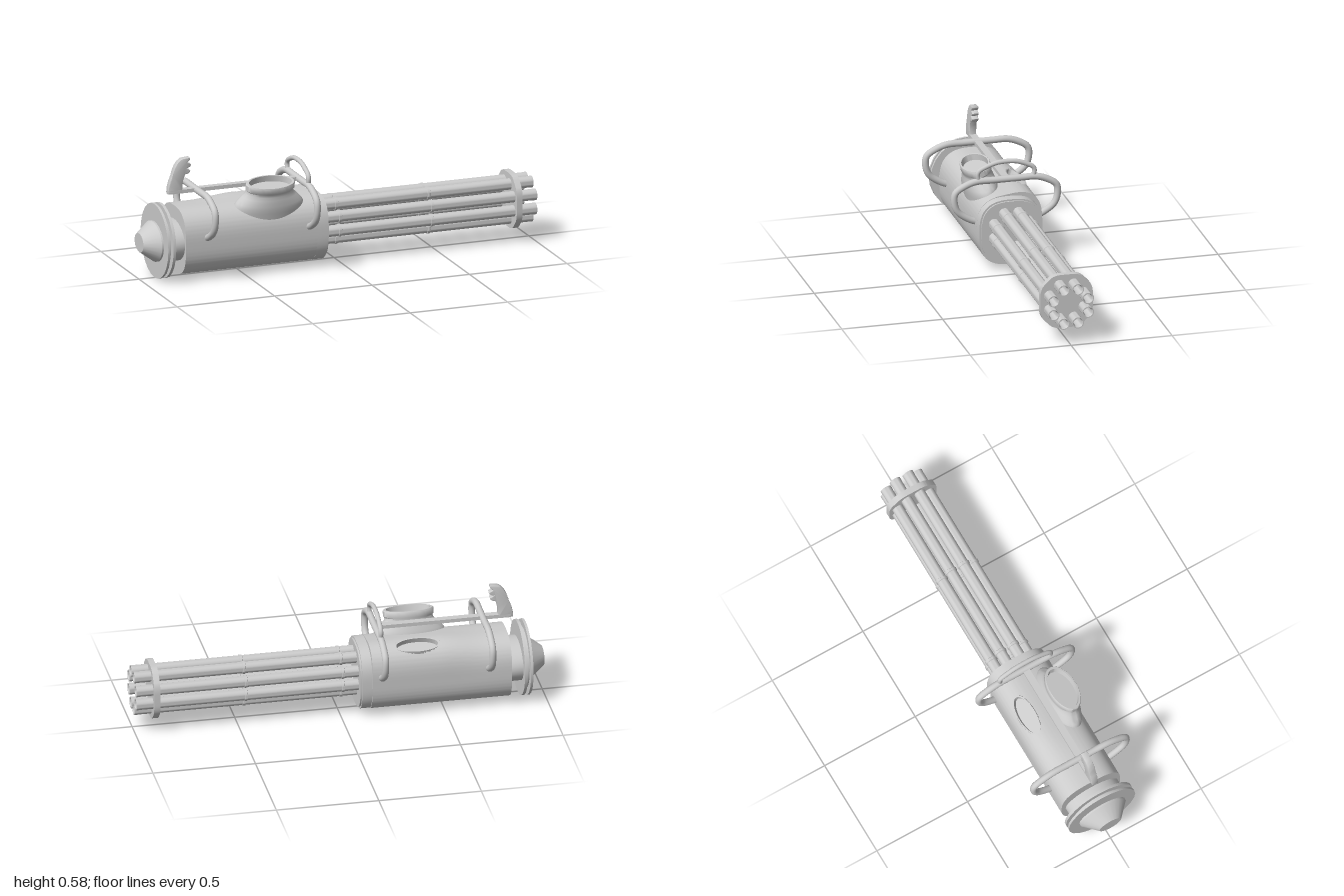
import * as THREE from 'three';
import { toCreasedNormals } from 'three/addons/utils/BufferGeometryUtils.js';

const V2 = (x, y) => new THREE.Vector2(x, y);
const grey = new THREE.MeshStandardMaterial({ color: 0xcccccc, side: THREE.DoubleSide });

export function createModel() {
  const model = new THREE.Group();
  const add = (name, geo, x = 0, y = 0, z = 0) => {
    const m = new THREE.Mesh(geo, grey);
    m.name = name;
    m.position.set(x, y, z);
    model.add(m);
    return m;
  };
  const lathe = (pts, seg) => new THREE.LatheGeometry(pts.map(p => V2(p[0], p[1])), seg);
  // Profile of [radius, x], turned around the long axis
  const turned = (pts, seg, zScale = 1) =>
    toCreasedNormals(lathe(pts, seg).rotateZ(-Math.PI / 2).scale(1, 1, zScale), 0.6);

  // Radius of the rounded-square housing section at an angle
  const sectionRadius = (a, hw, hh, n = 2.8) =>
    Math.pow(Math.pow(Math.abs(Math.cos(a)) / hw, n) + Math.pow(Math.abs(Math.sin(a)) / hh, n), -1 / n);
  const sectionShape = (hw, hh, n) => {
    const pts = [];
    for (let i = 0; i < 64; i++) {
      const a = (i / 64) * Math.PI * 2, r = sectionRadius(a, hw, hh, n);
      pts.push(V2(r * Math.cos(a), r * Math.sin(a)));
    }
    return new THREE.Shape(pts);
  };
  // Extrude a z/y section along x from x0 to x1
  const slab = (shape, x0, x1) => toCreasedNormals(
    new THREE.ExtrudeGeometry(shape, { depth: x1 - x0, bevelEnabled: false, curveSegments: 8 })
      .rotateY(Math.PI / 2).translate(x0, 0, 0), 0.5);

  // Housing: rounded section with a swelling on the upper back side
  const port = { x: -0.37, y: 0.35, z: -0.098, rx: 0.113, rz: 0.045 };
  const body = new THREE.CylinderGeometry(1, 1, 0.68, 160, 64).rotateZ(-Math.PI / 2).translate(-0.48, 0, 0);
  const p = body.attributes.position;
  for (let i = 0; i < p.count; i++) {
    const x = p.getX(i), y = p.getY(i), z = p.getZ(i), len = Math.hypot(y, z);
    const a = Math.atan2(y, -z);
    const swell = THREE.MathUtils.smoothstep(x, -0.72, -0.48);
    const r = len * sectionRadius(a, 0.161, 0.165) * (1 + 0.1 * swell * Math.exp(-(((a - 1.05) / 0.6) ** 2)));
    p.setXYZ(i, x, 0.187 + r * Math.sin(a), -0.004 - r * Math.cos(a));
  }
  // Cut the oval port opening
  const kept = [], idx = body.index.array;
  for (let i = 0; i < idx.length; i += 3) {
    const t = [idx[i], idx[i + 1], idx[i + 2]];
    const mid = f => (f(t[0]) + f(t[1]) + f(t[2])) / 3;
    const dx = (mid(k => p.getX(k)) - port.x) / port.rx, dz = (mid(k => p.getZ(k)) - port.z) / port.rz;
    if (mid(k => p.getY(k)) < 0.25 || dx * dx + dz * dz > 0.9) kept.push(...t);
  }
  body.setIndex(kept);
  add('housing', toCreasedNormals(body, 0.6));

  // Recessed oval port
  const portGeo = lathe([[1.06, -0.02], [1, 0.004], [0.9, 0.004], [0.88, -0.022], [0, -0.022]], 48)
    .scale(port.rx, 1, port.rz);
  add('sidePort', toCreasedNormals(portGeo, 0.6), port.x, port.y, port.z).rotation.x = -0.36;

  // Oval feed funnel, flaring into the housing
  const funnel = lathe([[1, -0.2], [1, -0.13], [1, -0.11], [1, -0.095], [1, -0.08], [1, -0.065], [0.96, -0.05],
    [0.96, -0.036], [1.01, -0.03], [1.01, -0.004], [0.98, 0], [0.88, 0], [0.85, -0.03], [0, -0.03]], 48);
  const f = funnel.attributes.position;
  for (let i = 0; i < f.count; i++) {
    const s = THREE.MathUtils.smoothstep(-f.getY(i), 0.04, 0.12);
    f.setX(i, f.getX(i) * 0.122 * (1 + 0.45 * s));
    f.setZ(i, f.getZ(i) * 0.07 * (1 + 0.14 * s));
  }
  add('feedFunnel', toCreasedNormals(funnel, 0.7), -0.367, 0.448, 0.105).rotation.x = 0.22;

  // Stepped collar in front of the housing
  add('collar', slab(sectionShape(0.157, 0.164), -0.145, -0.092), 0, 0.186);
  add('collarFace', slab(sectionShape(0.148, 0.156), -0.1, -0.084), 0, 0.186);

  // Rear discs, hub and tapered end cap
  add('rearDiscs', turned([[0, -0.921], [0.183, -0.921], [0.183, -0.909], [0.15, -0.909], [0.15, -0.894],
    [0.183, -0.894], [0.183, -0.88], [0, -0.88]], 24), 0, 0.186);
  add('rearHub', turned([[0.1, -0.89], [0.1, -0.81]], 32, 1.43), 0, 0.185);
  add('endCap', turned([[0, -1], [0.046, -1], [0.098, -0.93], [0.098, -0.915]], 24, 1.28), 0, 0.185);

  // Barrels: eight open tubes with couplings
  const barrelGeo = turned([[0, 0.9], [0.018, 0.9], [0.019, 0.985], [0.024, 1], [0.0285, 1], [0.0285, 0.99],
    [0.0275, 0.98], [0.0275, -0.09]].reverse(), 24);
  const couplingGeo = turned([[0.027, -0.008], [0.031, -0.006], [0.031, 0.006], [0.027, 0.008]], 24);
  for (let i = 0; i < 8; i++) {
    const a = (i + 0.5) * Math.PI / 4;
    const y = 0.199 + 0.092 * Math.sin(a), z = 0.092 * Math.cos(a);
    add('barrel', barrelGeo, 0, y, z);
    for (const x of [-0.008, 0.465]) add('barrelCoupling', couplingGeo, x, y, z);
  }

  // Muzzle clamp: octagon plate with rounded corners
  const oct = [[0.13, 0.07], [0.065, 0.135], [-0.065, 0.135], [-0.13, 0.07],
    [-0.13, -0.07], [-0.065, -0.135], [0.065, -0.135], [0.13, -0.07]].map(c => V2(...c));
  const plate = new THREE.Shape();
  oct.forEach((c, i) => {
    const a = c.clone().lerp(oct[(i + 7) % 8], 0.3), b = c.clone().lerp(oct[(i + 1) % 8], 0.3);
    if (i) plate.lineTo(a.x, a.y); else plate.moveTo(a.x, a.y);
    plate.quadraticCurveTo(c.x, c.y, b.x, b.y);
  });
  plate.closePath();
  add('muzzleClamp', slab(plate, 0.888, 0.918), 0, 0.2);

  // Carrying handles: half path of [z, y] mirrored across the middle
  const hoop = (half, radius) => {
    const pts = [...half, ...half.slice(0, -1).reverse().map(([z, y]) => [-z, y])];
    const curve = new THREE.CatmullRomCurve3(pts.map(([z, y]) => new THREE.Vector3(0, y, z)), false, 'centripetal');
    return new THREE.TubeGeometry(curve, 96, radius, 14);
  };
  const loop = hoop([[0.13, 0.212], [0.185, 0.235], [0.238, 0.275], [0.255, 0.32], [0.25, 0.37],
    [0.205, 0.402], [0.15, 0.42], [0.07, 0.421], [0, 0.421]], 0.0165);
  add('rearHandle', loop, -0.708);
  add('frontHandle', loop, -0.185);
  add('frontHandleArch', hoop([[0.135, 0.421], [0.141, 0.455], [0.133, 0.472], [0.1, 0.49],
    [0.05, 0.507], [0, 0.511]], 0.0115), -0.185);

  // Top rail between the handles
  add('topRail', new THREE.BoxGeometry(0.66, 0.018, 0.034), -0.515, 0.421);

  // Curved grip with finger notches
  const grip = new THREE.Shape();
  grip.moveTo(-0.855, 0.412);
  grip.quadraticCurveTo(-0.858, 0.45, -0.835, 0.5);
  grip.quadraticCurveTo(-0.82, 0.565, -0.785, 0.582);
  grip.lineTo(-0.745, 0.586);
  grip.quadraticCurveTo(-0.737, 0.575, -0.758, 0.562);
  grip.lineTo(-0.738, 0.552);
  grip.quadraticCurveTo(-0.74, 0.535, -0.762, 0.534);
  grip.lineTo(-0.742, 0.522);
  grip.quadraticCurveTo(-0.745, 0.505, -0.768, 0.504);
  grip.quadraticCurveTo(-0.79, 0.46, -0.78, 0.412);
  const gripGeo = new THREE.ExtrudeGeometry(grip, { depth: 0.026, bevelSize: 0.004, bevelThickness: 0.004,
    bevelOffset: -0.004, bevelSegments: 2, curveSegments: 8 }).translate(0, 0, -0.013);
  add('grip', toCreasedNormals(gripGeo, 0.7));

  return model;
}
